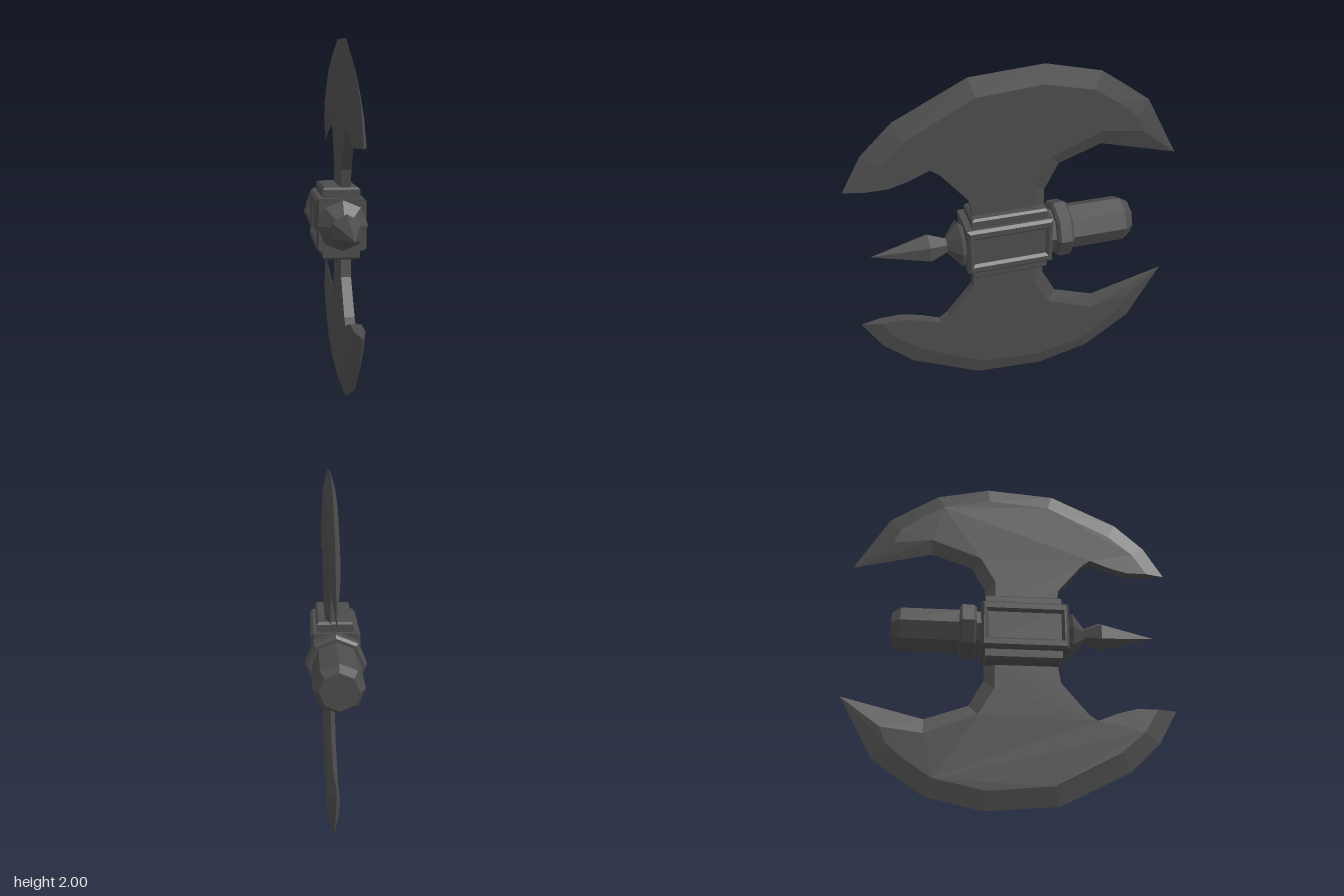
import * as THREE from 'three';

const steel = new THREE.MeshStandardMaterial({ color: 0x4c4c4c, flatShading: true });
steel.name = 'dark steel';

function add(parent, name, geometry) {
  const mesh = new THREE.Mesh(geometry, steel);
  mesh.name = name;
  parent.add(mesh);
  return mesh;
}

// Faceted solid turned about the z axis; profile is [radius, z] from back to front
function turned(profile, sides) {
  const points = profile.map(([r, z]) => new THREE.Vector2(r, z));
  return new THREE.LatheGeometry(points, sides).rotateX(Math.PI / 2);
}

function rect(ShapeType, w, h) {
  const corners = [[-w, -h], [w, -h], [w, h], [-w, h]];
  return new ShapeType(corners.map(([x, y]) => new THREE.Vector2(x / 2, y / 2)));
}

// Extrusion centred on its own depth, with chamfered rims
function chamfered(shape, depth, size) {
  return new THREE.ExtrudeGeometry(shape, {
    depth: depth - 2 * size, bevelEnabled: true, bevelSegments: 1,
    bevelSize: size, bevelThickness: size, bevelOffset: -size,
  }).translate(0, 0, size - depth / 2);
}

// Blade outline: [edge u, edge v, inner u, inner v], u running to the back.
// Short rows have no bevel, so the side stays square.
const BLADE = [
  [0.15, 1.15, 0.09, 1.15], [0.15, 1.28, 0.09, 1.33], [0.23, 1.43, 0.18, 1.49],
  [0.47, 1.515, 0.47, 1.6], [0.925, 1.4, 0.7, 1.57], [0.73, 1.74, 0.66, 1.66],
  [0.6, 1.83, 0.55, 1.75], [0.45, 1.93, 0.41, 1.84], [0.14, 2, 0.13, 1.9],
  [-0.26, 1.97, -0.23, 1.87], [-0.65, 1.78, -0.6, 1.68], [-0.82, 1.62, -0.74, 1.56],
  [-0.93, 1.43, -0.82, 1.43], [-0.7, 1.43], [-0.59, 1.46], [-0.48, 1.505],
  [-0.43, 1.47], [-0.28, 1.29], [-0.26, 1.15],
];

function bladeGeometry(thickness) {
  const n = BLADE.length, half = thickness / 2;
  const inner = BLADE.map(([u, v, iu = u, iv = v]) => new THREE.Vector2(iu, iv));
  const positions = [
    ...BLADE.flatMap(([u, v]) => [u, v, 0]),
    ...inner.flatMap((p) => [p.x, p.y, half]),
    ...inner.flatMap((p) => [p.x, p.y, -half]),
  ];
  const index = [];
  // Flat cheeks
  for (const [a, b, c] of THREE.ShapeUtils.triangulateShape(inner, [])) {
    index.push(a + n, b + n, c + n, c + 2 * n, b + 2 * n, a + 2 * n);
  }
  // Bevels from the cheeks to the middle edge
  for (let i = 0; i < n; i++) {
    const j = (i + 1) % n;
    index.push(i, j, j + n, i, j + n, i + n);
    index.push(j, i, i + 2 * n, j, i + 2 * n, j + 2 * n);
  }
  const geometry = new THREE.BufferGeometry();
  geometry.setAttribute('position', new THREE.Float32BufferAttribute(positions, 3));
  geometry.setIndex(index);
  geometry.computeVertexNormals();
  return geometry.rotateY(Math.PI / 2);
}

export function createModel() {
  const model = new THREE.Group();
  model.name = 'doubleAxeHead';

  // Two matching blades, the lower one turned over
  const blade = bladeGeometry(0.054);
  add(model, 'upperBlade', blade).position.x = 0.025;
  const lower = add(model, 'lowerBlade', blade);
  lower.position.set(0.025, 2, 0);
  lower.rotation.z = Math.PI;

  // Central block with a sunken panel on each side
  const frame = rect(THREE.Shape, 0.49, 0.28);
  frame.holes.push(rect(THREE.Path, 0.41, 0.16));
  const block = add(model, 'blockFrame', chamfered(frame, 0.27, 0.015).rotateY(Math.PI / 2));
  block.position.set(-0.003, 1, 0.07);
  const core = add(model, 'blockPanels', new THREE.BoxGeometry(0.232, 0.22, 0.45));
  core.position.set(-0.003, 1, 0.07);

  // Raised plates where the blades enter the block
  for (const [name, y] of [['upperPlate', 1.155], ['lowerPlate', 0.845]]) {
    const plate = chamfered(rect(THREE.Shape, 0.2, 0.43), 0.08, 0.012).rotateX(Math.PI / 2);
    add(model, name, plate).position.set(0, y, 0.065);
  }

  // Socket, collar and grip behind the block
  const shaft = new THREE.Group();
  shaft.name = 'shaft';
  shaft.position.y = 1;
  model.add(shaft);
  add(shaft, 'neck', turned([[0.125, -0.22], [0.125, -0.15]], 8));
  add(shaft, 'collar', turned([
    [0, -0.295], [0.15, -0.295], [0.166, -0.28], [0.166, -0.215], [0.15, -0.2], [0, -0.2],
  ], 8));
  add(shaft, 'grip', turned([[0, -0.67], [0.1, -0.67], [0.132, -0.62], [0.132, -0.28]], 8));

  // Cap and spike in front of the block
  add(shaft, 'spikeCap', turned([
    [0.09, 0.3], [0.135, 0.34], [0.05, 0.41], [0, 0.41],
  ], 8));
  add(shaft, 'spike', turned([[0.035, 0.39], [0.086, 0.51], [0, 0.83]], 6));

  return model;
}
